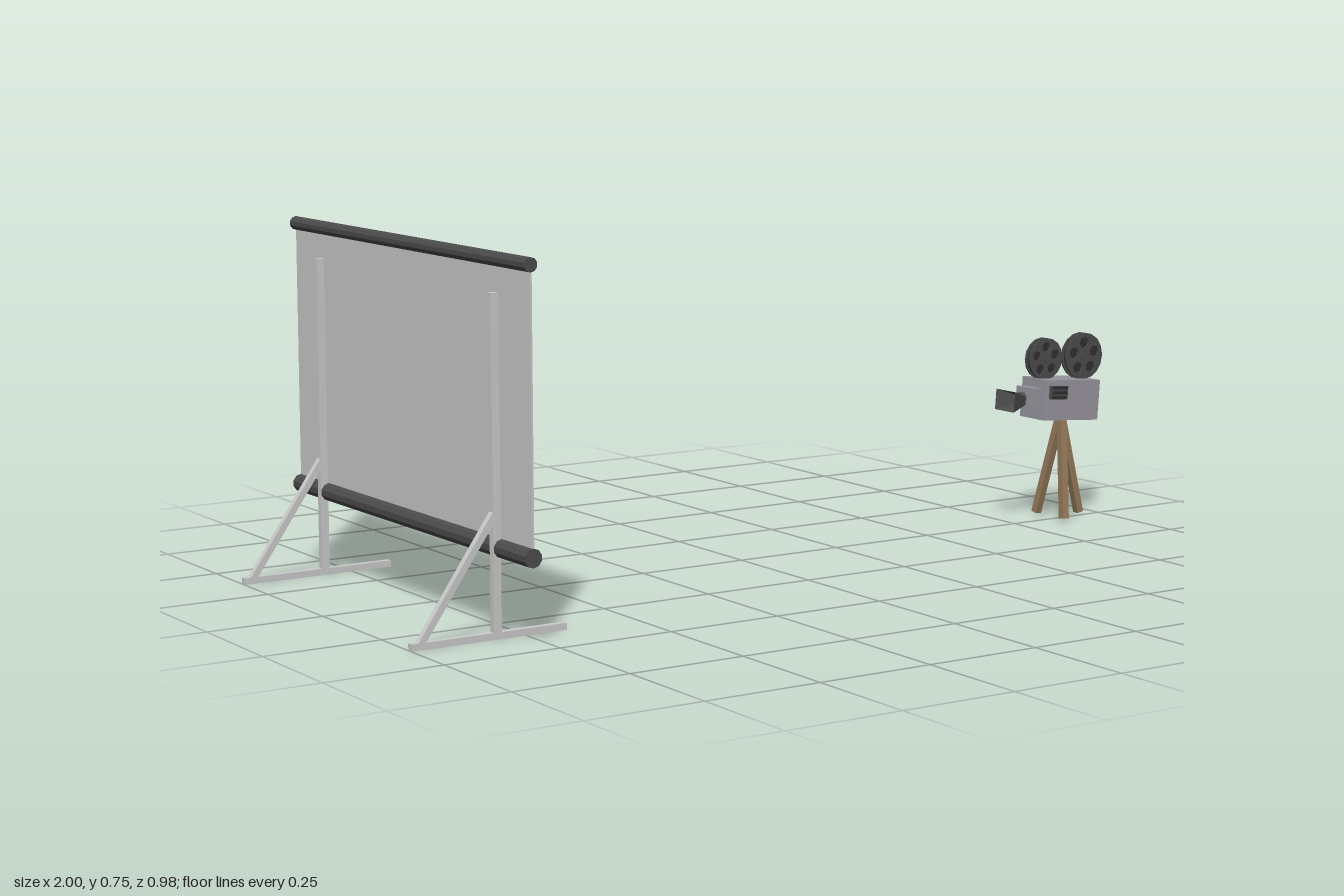
import * as THREE from 'three';

const mat = (color) => new THREE.MeshStandardMaterial({ color, flatShading: true });
const grey = mat(0xcccccc), dark = mat(0x4c4c4c), black = mat(0x303030);
const shell = mat(0x98959f), wood = mat(0x94795a);

function add(parent, name, geometry, material, x = 0, y = 0, z = 0) {
  const mesh = new THREE.Mesh(geometry, material);
  mesh.name = name;
  mesh.position.set(x, y, z);
  parent.add(mesh);
  return mesh;
}

// Square bar running between two points
function bar(parent, name, a, b, width, depth, material) {
  const from = new THREE.Vector3(...a), to = new THREE.Vector3(...b);
  const mesh = add(parent, name, new THREE.BoxGeometry(width, from.distanceTo(to), depth), material);
  mesh.position.copy(from).add(to).multiplyScalar(0.5);
  mesh.quaternion.setFromUnitVectors(new THREE.Vector3(0, 1, 0), to.sub(from).normalize());
  return mesh;
}

// Film reel: two pierced flanges around a wound core
function makeReel(radius) {
  const reel = new THREE.Group();
  const outline = new THREE.Shape().absarc(0, 0, radius, 0, Math.PI * 2);
  for (let i = 0; i < 5; i++) {
    const a = (i / 5) * Math.PI * 2 + Math.PI / 2;
    const hole = new THREE.Path();
    hole.absarc(Math.cos(a) * radius * 0.58, Math.sin(a) * radius * 0.58, radius * 0.23, 0, Math.PI * 2, true);
    outline.holes.push(hole);
  }
  const flange = new THREE.ExtrudeGeometry(outline, { depth: 0.004, bevelEnabled: false, curveSegments: 8 });
  add(reel, 'frontFlange', flange, dark, 0, 0, 0.005);
  add(reel, 'backFlange', flange, dark, 0, 0, -0.009);
  const core = new THREE.CylinderGeometry(radius * 0.9, radius * 0.9, 0.01, 16).rotateX(Math.PI / 2);
  add(reel, 'filmCore', core, black);
  const hub = new THREE.CylinderGeometry(radius * 0.16, radius * 0.16, 0.022, 8).rotateX(Math.PI / 2);
  add(reel, 'hub', hub, dark);
  return reel;
}

function makeScreen() {
  const screen = new THREE.Group();
  screen.name = 'projectionScreen';
  const roller = (r) => new THREE.CylinderGeometry(r, r, 0.984, 10).rotateX(Math.PI / 2);
  add(screen, 'topRail', roller(0.0145), dark, -0.802, 0.733, 0);
  add(screen, 'bottomRoller', roller(0.019), dark, -0.802, 0.177, 0);
  add(screen, 'screenSheet', new THREE.BoxGeometry(0.004, 0.556, 0.98), grey, -0.801, 0.455, 0);

  // Stand on each side: foot, upright and diagonal brace
  for (const z of [-0.366, 0.366]) {
    add(screen, 'foot', new THREE.BoxGeometry(0.34, 0.014, 0.014), grey, -0.83, 0.007, z);
    add(screen, 'upright', new THREE.BoxGeometry(0.017, 0.66, 0.014), grey, -0.813, 0.34, z);
    bar(screen, 'brace', [-0.98, 0.01, z], [-0.816, 0.245, z], 0.014, 0.014, grey);
  }
  return screen;
}

function makeCamera() {
  const camera = new THREE.Group();
  camera.name = 'filmCamera';
  camera.position.z = -0.003;

  // Tilted head, with its lens along -x
  const head = new THREE.Group();
  head.name = 'cameraHead';
  head.position.set(0.882, 0.279, 0);
  head.rotation.z = -0.075;
  camera.add(head);
  add(head, 'body', new THREE.BoxGeometry(0.16, 0.092, 0.084), shell);
  add(head, 'lensMount', new THREE.BoxGeometry(0.03, 0.044, 0.052), shell, -0.094, 0.004, 0);
  add(head, 'lensBarrel', new THREE.CylinderGeometry(0.012, 0.012, 0.02, 10).rotateZ(Math.PI / 2), dark, -0.112, 0.002, 0);

  // Rectangular flared hood, open at the front
  const hood = new THREE.CylinderGeometry(0.012, 0.033, 0.05, 4, 1, true)
    .rotateY(Math.PI / 4).rotateZ(-Math.PI / 2).scale(1, 1, 1.45);
  const hoodMat = dark.clone();
  hoodMat.side = THREE.DoubleSide;
  add(head, 'lensHood', hood, hoodMat, -0.136, -0.005, 0);

  // Side viewfinder and its ribs
  add(head, 'viewfinder', new THREE.BoxGeometry(0.05, 0.03, 0.006), dark, -0.043, 0.018, 0.045);
  for (const dy of [-0.011, 0, 0.011])
    add(head, 'viewfinderRib', new THREE.BoxGeometry(0.042, 0.007, 0.004), black, -0.043, 0.018 + dy, 0.049);

  // Reels above the body
  const reels = [['frontReel', 0.832, 0.374, 0.048], ['rearReel', 0.944, 0.372, 0.054]];
  for (const [name, x, y, r] of reels) {
    const reel = makeReel(r);
    reel.name = name;
    reel.position.set(x, y, 0);
    camera.add(reel);
  }

  // Tripod
  const feet = [[0.857, 0.05], [0.857, -0.05], [0.941, 0]];
  for (const [x, z] of feet)
    bar(camera, 'tripodLeg', [x, 0.008, z], [0.885, 0.235, z * 0.06], 0.016, 0.017, wood);
  return camera;
}

export function createModel() {
  const model = new THREE.Group();
  model.name = 'filmCameraAndScreen';
  model.add(makeScreen(), makeCamera());
  return model;
}
